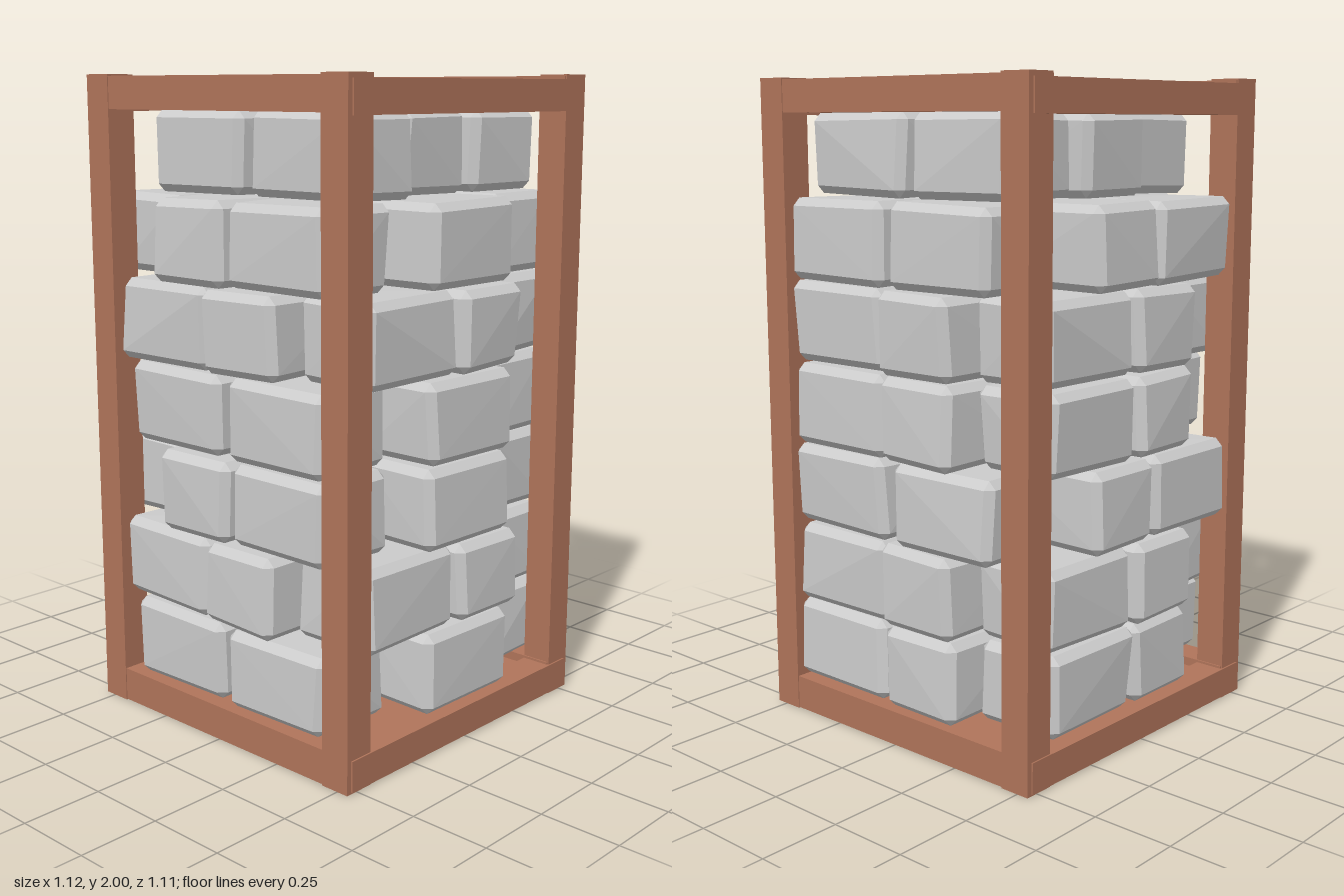
import * as THREE from 'three';
import { ConvexGeometry } from 'three/addons/geometries/ConvexGeometry.js';

const wood = new THREE.MeshStandardMaterial({ color: 0xb0745a, flatShading: true });
const stone = new THREE.MeshStandardMaterial({ color: 0xcccccc, flatShading: true });

// Small seeded generator for the uneven stone shapes
let seed = 7;
const rand = () => {
  seed = (seed * 16807) % 2147483647;
  return seed / 2147483647 - 0.5;
};

function beam(parent, name, size, pos, turn = 0) {
  const mesh = new THREE.Mesh(new THREE.BoxGeometry(...size), wood);
  mesh.name = name;
  mesh.position.set(...pos);
  mesh.rotation.y = turn;
  parent.add(mesh);
}

// Bevelled block whose eight corners are each nudged a little
function brickGeometry(w, h, d) {
  const bevel = 0.024, points = [];
  for (const sx of [-1, 1]) for (const sy of [-1, 1]) for (const sz of [-1, 1]) {
    const x = sx * (w / 2 + rand() * 0.016);
    const y = sy * (h / 2 + rand() * 0.008);
    const z = sz * (d / 2 + rand() * 0.016);
    points.push(
      new THREE.Vector3(x, y - sy * bevel, z - sz * bevel),
      new THREE.Vector3(x - sx * bevel, y, z - sz * bevel),
      new THREE.Vector3(x - sx * bevel, y - sy * bevel, z));
  }
  return new ConvexGeometry(points);
}

// Course layouts: each brick is [x centre, z centre, width, depth]
const L = 0.385, S = 0.285;
const halfBond = [
  [-0.19, 0.39, L, S], [0.235, 0.39, L, S],          // two long bricks on one face
  [0.405, 0, S, L],                                  // long brick on the right
  [0.245, -0.39, L, S], [-0.1, -0.355, S, L], [-0.395, -0.24, S, L],
  [-0.35, 0.1, L, S],                                // end-on brick on the left
  [0.06, 0.04, L, S],                                // core
];
const mirrored = halfBond.map(([x, z, w, d]) => [x, -z, w, d]);
const pinwheel = [];
for (let i = 0; i < 4; i++) {
  const c = Math.round(Math.cos(i * Math.PI / 2)), s = Math.round(Math.sin(i * Math.PI / 2));
  for (const [x, z, w, d] of [[-0.24, 0.385, L, S], [0.095, 0.355, S, L]]) {
    pinwheel.push([x * c + z * s, z * c - x * s, i % 2 ? d : w, i % 2 ? w : d]);
  }
}
const topCourse = [];
for (const [z, shift] of [[-0.295, 0.025], [-0.01, -0.025], [0.285, 0.025]]) {
  for (const x of [-0.205, 0.21]) topCourse.push([x + shift, z, L, S]);
}

export function createModel() {
  const model = new THREE.Group();
  model.name = 'brickCrate';

  // Timber frame
  const frame = new THREE.Group();
  frame.name = 'frame';
  model.add(frame);
  const e = 0.49;
  for (const sx of [-1, 1]) for (const sz of [-1, 1]) {
    beam(frame, 'cornerPost', [0.098, 2, 0.098], [sx * e, 1, sz * e]);
  }
  for (const s of [-1, 1]) {
    beam(frame, 'topCrossRail', [1.07, 0.098, 0.1], [0, 1.946, s * 0.486]);
    beam(frame, 'bottomCrossRail', [1.07, 0.106, 0.1], [0, 0.055, s * 0.486]);
    beam(frame, 'topSideRail', [0.1, 0.095, 1.045], [s * 0.494, 1.938, 0]);
    beam(frame, 'bottomSideRail', [0.1, 0.095, 1.045], [s * 0.494, 0.053, 0]);
  }

  // Floor and crossed lid braces
  beam(frame, 'floorPanel', [0.96, 0.06, 0.96], [0, 0.05, 0]);
  beam(frame, 'lidBrace', [1.3, 0.04, 0.1], [0.01, 1.962, -0.005], -Math.PI / 4);
  beam(frame, 'lidBrace', [1.3, 0.04, 0.1], [0.01, 1.955, -0.005], Math.PI / 4);

  // Seven stacked courses of bricks
  const courses = [halfBond, pinwheel, mirrored, halfBond, pinwheel, mirrored, topCourse];
  courses.forEach((layout, i) => {
    const course = new THREE.Group();
    course.name = 'brickCourse' + (i + 1);
    course.position.y = 0.247 + i * 0.2547;
    for (const [x, z, w, d] of layout) {
      const brick = new THREE.Mesh(brickGeometry(w, 0.248, d), stone);
      brick.name = 'brick';
      brick.position.set(x + rand() * 0.008, 0, z + rand() * 0.008);
      brick.rotation.y = rand() * 0.03;
      course.add(brick);
    }
    model.add(course);
  });
  return model;
}
